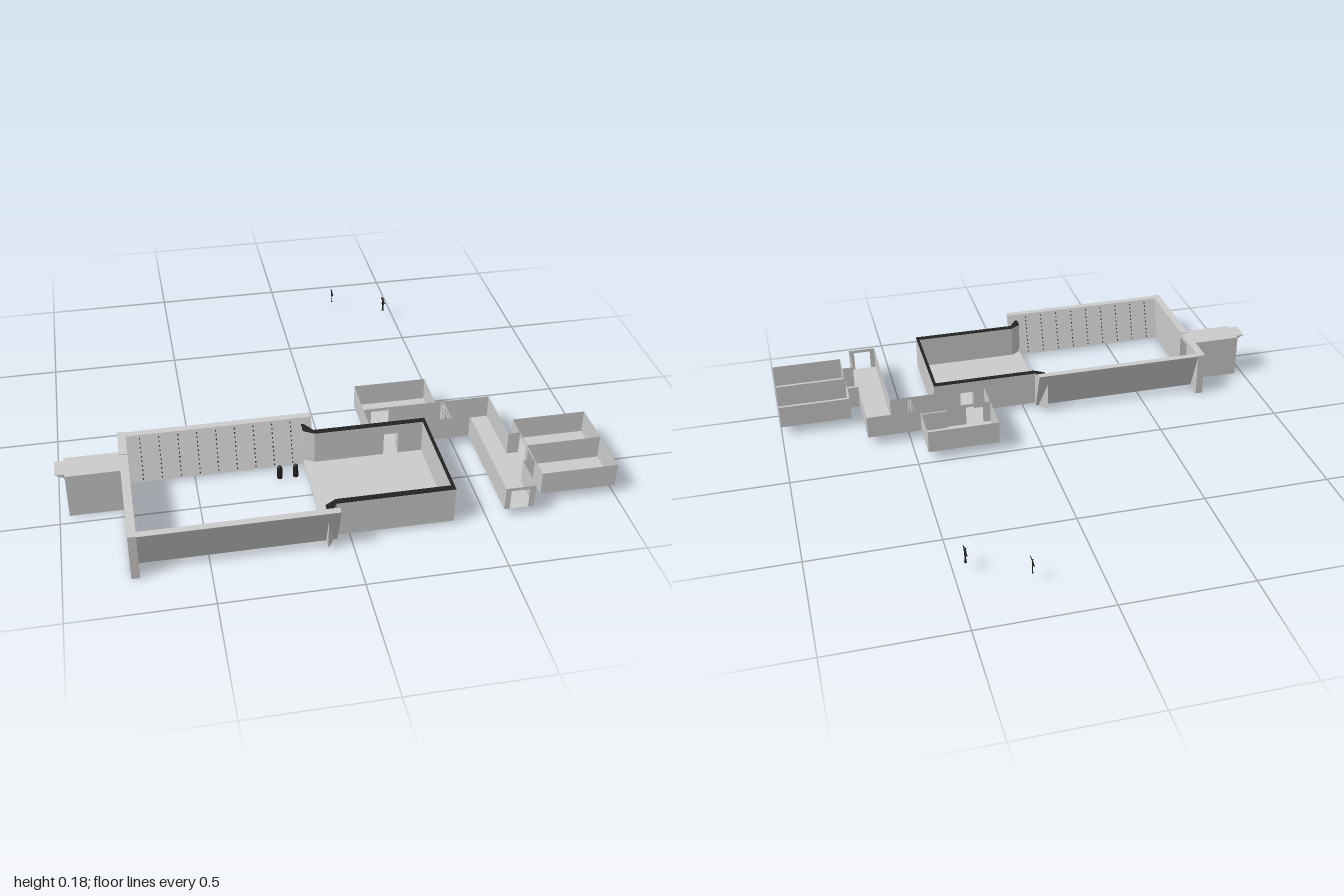
import * as THREE from 'three';
import { mergeGeometries } from 'three/addons/utils/BufferGeometryUtils.js';

const grey = new THREE.MeshStandardMaterial({ color: 0xcccccc, flatShading: true });
const thin = new THREE.MeshStandardMaterial({ color: 0xcccccc, flatShading: true, side: THREE.DoubleSide });
const dark = new THREE.MeshStandardMaterial({ color: 0x222222, flatShading: true });

export function createModel() {
  const model = new THREE.Group();
  const add = (name, geometry, material = grey, parent = model) => {
    const mesh = new THREE.Mesh(geometry, material);
    mesh.name = name;
    parent.add(mesh);
    return mesh;
  };
  // Box given by its limits on each axis
  const block = (x0, x1, y0, y1, z0, z1) =>
    new THREE.BoxGeometry(x1 - x0, y1 - y0, z1 - z0)
      .translate((x0 + x1) / 2, (y0 + y1) / 2, (z0 + z1) / 2);
  const shapeOf = (pts) => new THREE.Shape(pts.map(([a, b]) => new THREE.Vector2(a, b)));
  // Plan outline (x, z) raised from y0 to y1
  const raise = (pts, y0, y1) =>
    new THREE.ExtrudeGeometry(shapeOf(pts), { depth: y1 - y0, bevelEnabled: false })
      .rotateX(Math.PI / 2).translate(0, y1, 0);

  // Open hall: end wall split by the entrance
  add('endWallBack', block(-0.77, -0.74, 0, 0.183, 0.235, 0.372));
  add('endWallFront', block(-0.77, -0.74, 0, 0.183, 0.447, 0.83));

  // Leaning side walls, mirrored about the hall's centre line, with rows of studs
  const mid = 0.5325;
  for (const s of [-1, 1]) {
    const side = s < 0 ? 'Back' : 'Front';
    // Cross-section in (z, y), swept along x
    const section = [[0.297, 0.18], [0.27, 0.18], [0.208, 0.01], [0.235, 0.01]]
      .map(([d, y]) => [-(mid + s * d), y]);
    add('leaningWall' + side,
      new THREE.ExtrudeGeometry(shapeOf(section), { depth: 0.69, bevelEnabled: false })
        .rotateY(Math.PI / 2).translate(-0.74, 0, 0));
    const studs = [];
    for (let i = 0; i < 9; i++) {
      for (let j = 0; j < 10; j++) {
        const t = (j + 0.7) / 10.5;
        studs.push(new THREE.BoxGeometry(0.004, 0.005, 0.004)
          .translate(-0.69 + i * 0.07, 0.01 + 0.17 * t, mid + s * (0.208 + 0.062 * t)));
      }
    }
    add('wallStuds' + side, mergeGeometries(studs), dark);
  }

  // Entrance passage with its projecting roof
  add('passageWallBack', block(-0.965, -0.74, 0.003, 0.18, 0.352, 0.37));
  add('passageWallFront', block(-0.965, -0.74, 0.003, 0.18, 0.447, 0.463));
  const roof = shapeOf([[-1, 0.18], [-0.965, 0.162], [-0.74, 0.162], [-0.74, 0.18]]);
  add('passageRoof', new THREE.ExtrudeGeometry(roof, { depth: 0.079, bevelEnabled: false })
    .translate(0, 0, 0.369));

  // Closed hall: floor and walls that flare out at the open end
  add('hallFloor', block(-0.09, 0.37, 0.015, 0.023, 0.32, 0.745));
  const plans = {
    hallWallFront: [[-0.09, 0.81], [-0.05, 0.75], [0.375, 0.75], [0.375, 0.315], [0.27, 0.315],
      [0.27, 0.337], [0.363, 0.337], [0.363, 0.727], [-0.05, 0.727], [-0.09, 0.752]],
    hallWallBack: [[-0.09, 0.255], [-0.05, 0.315], [0.215, 0.315], [0.215, 0.337],
      [-0.05, 0.337], [-0.09, 0.313]],
  };
  for (const [name, plan] of Object.entries(plans)) {
    add(name, raise(plan, 0.013, 0.154));
    add(name + 'Cap', raise(plan, 0.154, 0.156), dark);
  }
  add('hallDoorLintel', block(0.215, 0.27, 0.115, 0.154, 0.315, 0.337));
  add('hallDoorLintelCap', block(0.215, 0.27, 0.154, 0.156, 0.315, 0.337), dark);

  // Side rooms: thin walls, with doorways given as [start, end] along the wall
  const Y0 = 0.036, Y1 = 0.128, DOOR = 0.115;
  const wall = (name, x0, z0, x1, z1, doors = []) => {
    const length = Math.hypot(x1 - x0, z1 - z0);
    const pts = [[0, Y0]];
    for (const [a, b] of doors) pts.push([a, Y0], [a, DOOR], [b, DOOR], [b, Y0]);
    pts.push([length, Y0], [length, Y1], [0, Y1]);
    const geometry = new THREE.ShapeGeometry(shapeOf(pts))
      .rotateY(-Math.atan2(z1 - z0, x1 - x0)).translate(x0, 0, z0);
    add(name, geometry, thin);
  };
  const run = (name, pts) => {
    for (let i = 1; i < pts.length; i++) wall(name, ...pts[i - 1], ...pts[i]);
  };
  const floor = (name, x0, x1, z0, z1) =>
    add(name, new THREE.PlaneGeometry(x1 - x0, z1 - z0).rotateX(-Math.PI / 2)
      .translate((x0 + x1) / 2, Y0, (z0 + z1) / 2), thin);

  floor('backRoomFloor', 0.17, 0.455, 0.02, 0.185);
  run('backRoomWall', [[0.17, 0.185], [0.17, 0.02], [0.455, 0.02], [0.455, 0.185]]);
  wall('backRoomDoorWall', 0.17, 0.185, 0.455, 0.185, [[0.03, 0.1], [0.18, 0.27]]);
  add('doorLeaf', block(0.35, 0.45, Y0, DOOR, 0.177, 0.183));

  // L-shaped corridor
  floor('corridorFloor', 0.17, 0.67, 0.185, 0.3);
  floor('corridorFloor', 0.56, 0.67, 0.3, 0.75);
  floor('hallLinkFloor', 0.215, 0.27, 0.3, 0.337);
  run('corridorWall', [[0.455, 0.185], [0.67, 0.185], [0.67, 0.435]]);
  run('corridorWall', [[0.67, 0.605], [0.67, 0.75]]);
  wall('corridorEndWall', 0.56, 0.75, 0.67, 0.75, [[0.02, 0.088]]);
  run('corridorWall', [[0.56, 0.75], [0.56, 0.3]]);
  wall('corridorHallWall', 0.17, 0.3, 0.56, 0.3, [[0.045, 0.1]]);
  wall('corridorWall', 0.17, 0.3, 0.17, 0.185);
  for (const x of [0.478, 0.488]) wall('corridorDoorFrame', x, 0.185, x, 0.3, [[0.025, 0.09]]);
  for (const x of [0.215, 0.27]) wall('hallLinkWall', x, 0.3, x, 0.315);

  // Pair of rooms beyond the corridor
  floor('linkFloor', 0.67, 0.715, 0.435, 0.605);
  for (const z of [0.435, 0.605]) wall('linkWall', 0.67, z, 0.715, z);
  floor('pairRoomFloor', 0.715, 1, 0.35, 0.69);
  run('pairRoomWall', [[0.715, 0.35], [1, 0.35], [1, 0.69], [0.715, 0.69]]);
  wall('pairRoomDoorWall', 0.715, 0.35, 0.715, 0.69, [[0.09, 0.155], [0.178, 0.25]]);
  wall('pairRoomDivider', 0.715, 0.517, 1, 0.517);

  // Two short posts in the open hall
  for (const x of [-0.19, -0.13]) {
    add('post', new THREE.CylinderGeometry(0.01, 0.01, 0.045, 10).translate(x, 0.024, 0.38), dark);
    add('postTop', new THREE.SphereGeometry(0.009, 10, 6).translate(x, 0.048, 0.38), dark);
  }

  // Small standing figures with their arms spread along z
  const figure = (x, z, w) => {
    const group = new THREE.Group();
    group.name = 'figure';
    const box = (name, sx, sy, sz, y, dz = 0) =>
      add(name, new THREE.BoxGeometry(sx, sy, sz).translate(0, y, dz), dark, group);
    box('torso', w, 0.022, w * 1.6, 0.075);
    box('arms', w * 0.6, w * 0.6, 0.058, 0.084);
    add('head', new THREE.SphereGeometry(w * 0.7, 8, 6).translate(0, 0.092, 0), dark, group);
    for (const s of [-1, 1]) {
      box('leg', w * 0.6, 0.032, w * 0.6, 0.051, s * w * 0.5);
      box('foot', w * 1.2, 0.003, w * 0.7, 0.0365, s * w * 0.5);
    }
    group.position.set(x, 0, z);
    model.add(group);
  };
  figure(0.455, -0.69, 0.007);
  figure(0.245, -0.805, 0.004);

  return model;
}
